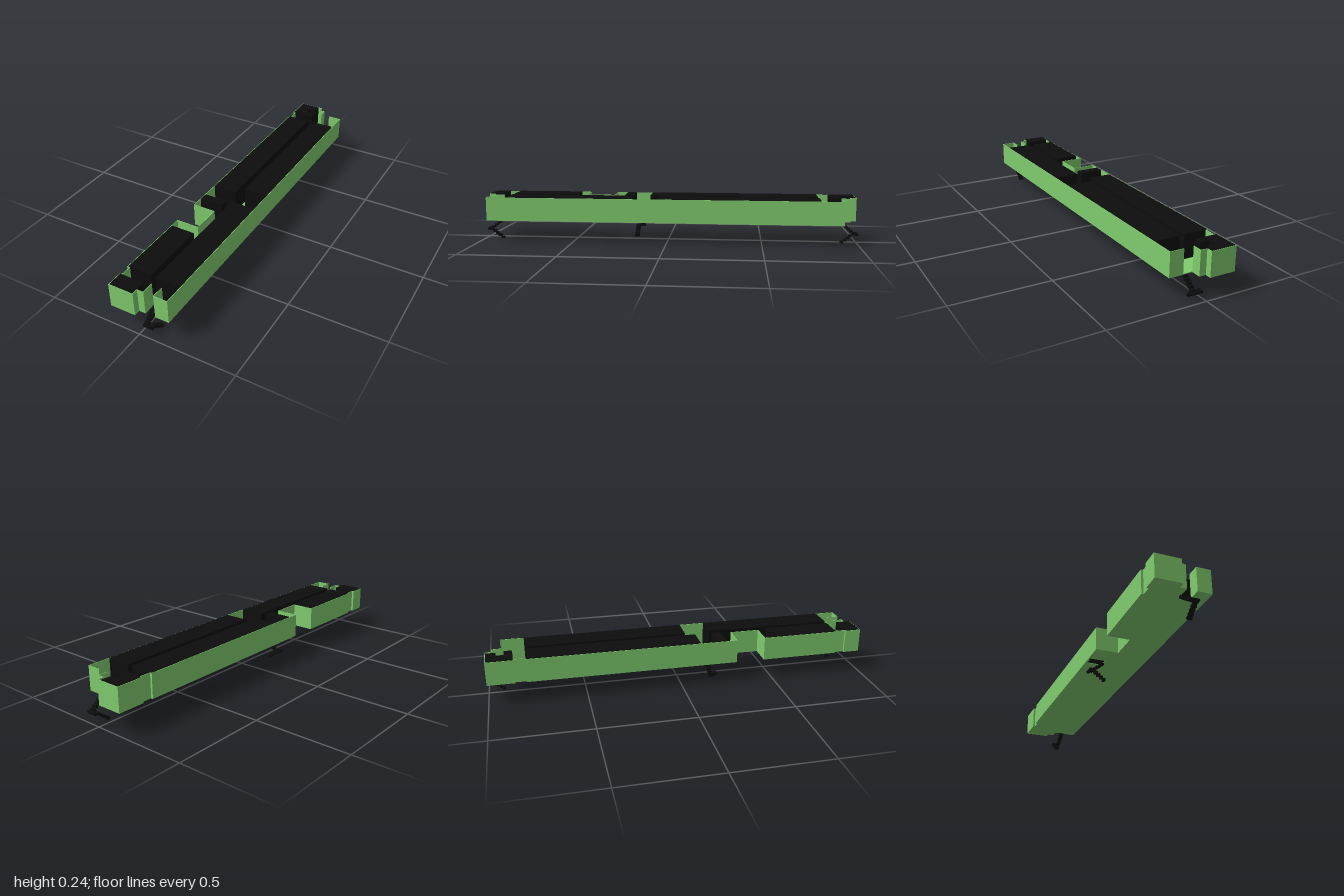
import * as THREE from 'three';

const green = new THREE.MeshStandardMaterial({ color: 0x80cc6e });
const black = new THREE.MeshStandardMaterial({ color: 0x0d0d0d });
const FLOOR = 0.11, TOP = 0.235, WALL = 0.003;

// Box given by its minimum and maximum corners
function box(name, material, x0, x1, y0, y1, z0, z1) {
  const mesh = new THREE.Mesh(new THREE.BoxGeometry(x1 - x0, y1 - y0, z1 - z0), material);
  mesh.position.set((x0 + x1) / 2, (y0 + y1) / 2, (z0 + z1) / 2);
  mesh.name = name;
  return mesh;
}

// Plan outline [x, z], from the front entrance round the left side to the back entrance
const leftSide = [
  [0.074, 0.905], [0.074, 0.965], [0.144, 0.965], [0.144, -0.918], [0.074, -0.918],
];
// From the back entrance round the right side to the front entrance
const rightSide = [
  [0.02, -0.918], [0.02, -0.966], [-0.014, -0.966], [-0.014, -0.998], [-0.144, -0.998],
  [-0.144, -0.86], [-0.133, -0.86], [-0.133, -0.8], [-0.144, -0.8],
  [-0.144, 0.298], [-0.025, 0.298], [-0.025, 0.452], [-0.144, 0.452],
  [-0.144, 0.86], [-0.133, 0.86], [-0.133, 0.915], [-0.144, 0.915],
  [-0.144, 0.998], [-0.014, 0.998], [-0.014, 0.966], [0.02, 0.966], [0.02, 0.905],
];

// Floor slab with an opening above the middle stair
function makeFloor() {
  const toShape = ([x, z]) => new THREE.Vector2(x, -z);
  const shape = new THREE.Shape([...leftSide, ...rightSide].map(toShape));
  const hole = [[-0.135, 0.135], [-0.055, 0.135], [-0.055, 0.19], [-0.135, 0.19]];
  shape.holes.push(new THREE.Path(hole.map(toShape)));
  const geometry = new THREE.ExtrudeGeometry(shape, { depth: 0.004, bevelEnabled: false });
  geometry.rotateX(-Math.PI / 2);
  const floor = new THREE.Mesh(geometry, green);
  floor.position.y = FLOOR;
  floor.name = 'floor';
  return floor;
}

// Thin walls along an open run of plan points
function makeWalls(name, points) {
  const group = new THREE.Group();
  group.name = name;
  const h = WALL / 2;
  for (let i = 1; i < points.length; i++) {
    const [ax, az] = points[i - 1], [bx, bz] = points[i];
    group.add(box('wall', green, Math.min(ax, bx) - h, Math.max(ax, bx) + h, FLOOR, TOP,
      Math.min(az, bz) - h, Math.max(az, bz) + h));
  }
  return group;
}

// Two flights side by side: down and outward to a landing, then back in.
// Local frame: outward is +z, the flights stand at x = upperX and x = lowerX.
function makeStair(name, upperX, lowerX, width, run) {
  const group = new THREE.Group();
  group.name = name;
  const steps = 5, rise = 0.0114, tread = run / steps;
  for (let i = 0; i < steps; i++) {
    const z = i * tread;
    const yUp = FLOOR - 0.006 - i * rise, yLow = i * rise;
    group.add(box('upperStep', black, upperX, upperX + width, yUp - 0.005, yUp + 0.006, z, z + tread));
    group.add(box('lowerStep', black, lowerX, lowerX + width, yLow, yLow + rise, z, z + tread));
  }
  const x0 = Math.min(upperX, lowerX), x1 = Math.max(upperX, lowerX) + width;
  group.add(box('landing', black, x0, x1, 0.047, 0.058, run, run + tread));
  return group;
}

export function createModel() {
  const model = new THREE.Group();
  model.name = 'longBuilding';
  model.add(makeFloor(), makeWalls('leftWalls', leftSide), makeWalls('rightWalls', rightSide));

  // Dark blocks filling the rooms on both sides of the corridor: [x0, x1, z0, z1]
  const blocks = [
    [0.013, 0.141, -0.8, 0.05], [0.013, 0.141, 0.185, 0.86],
    [-0.141, -0.015, -0.798, 0.1], [-0.141, -0.015, 0.192, 0.24],
    [-0.141, -0.015, 0.505, 0.858], [-0.141, -0.016, 0.917, 0.995],
    [-0.141, -0.033, -0.995, -0.945], [-0.141, -0.07, -0.945, -0.905],
    [-0.141, -0.02, -0.905, -0.863],
  ];
  for (const [x0, x1, z0, z1] of blocks) {
    model.add(box('roomBlock', black, x0, x1, FLOOR + 0.004, TOP + 0.002, z0, z1));
  }

  // Stairs below the floor at the front, back and middle
  const frontStair = makeStair('frontStair', 0.016, 0.044, 0.025, 0.074);
  frontStair.position.z = 0.9;
  const backStair = makeStair('backStair', -0.075, -0.047, 0.025, 0.072);
  backStair.rotation.y = Math.PI;
  backStair.position.z = -0.914;
  const middleStair = makeStair('middleStair', 0.143, 0.168, 0.024, 0.072);
  middleStair.rotation.y = -Math.PI / 2;
  middleStair.position.x = -0.053;
  model.add(frontStair, backStair, middleStair);
  return model;
}
